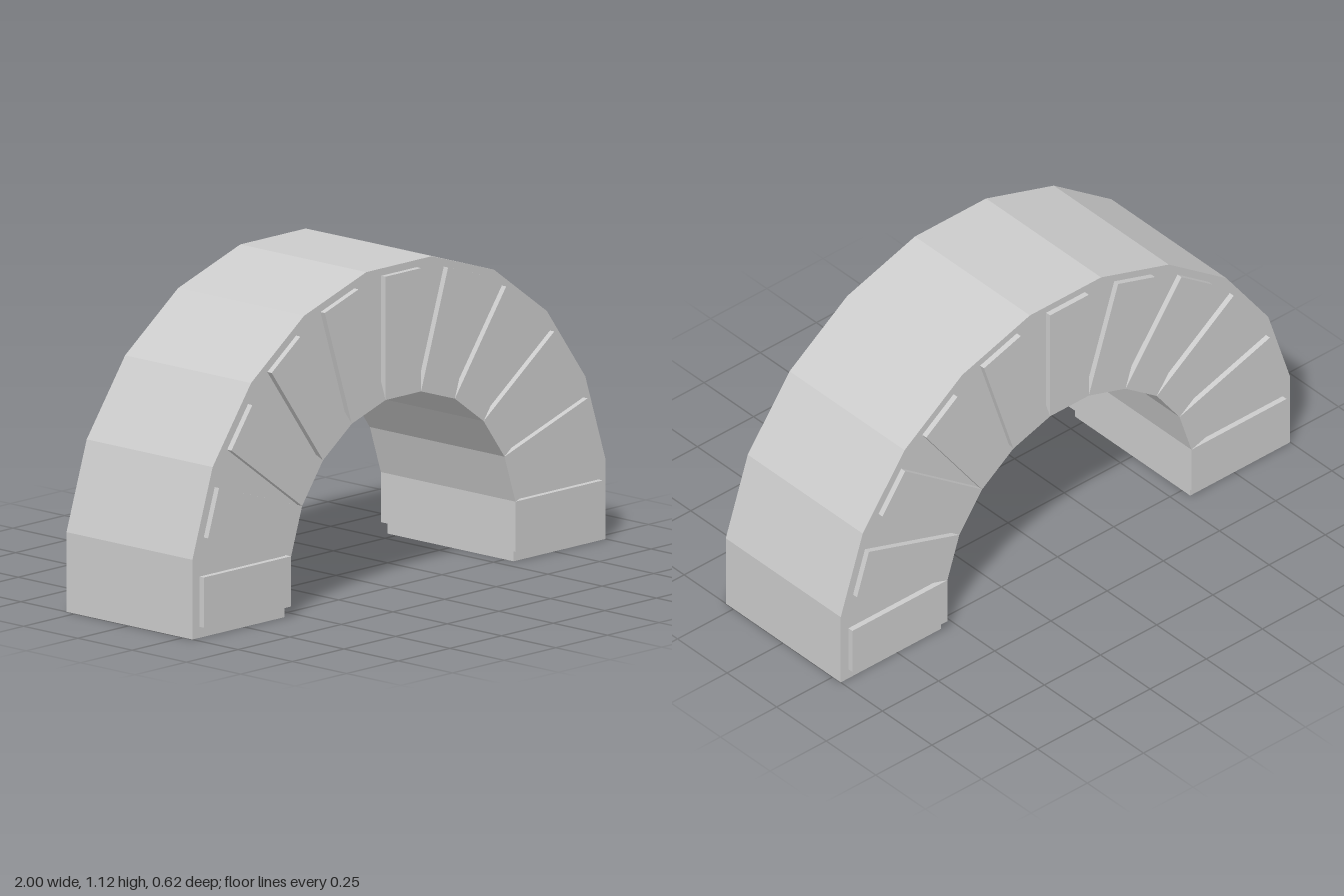
import * as THREE from 'three';

const STEP = Math.PI / 10; // eleven facets over the half circle

// Corners of the faceted half ring, from +x over the top to -x
function ringCorners(apothem, centreY) {
  const r = apothem / Math.cos(STEP / 2);
  const points = [];
  for (let i = 0; i < 10; i++) {
    const a = STEP * (i + 0.5);
    points.push(new THREE.Vector2(r * Math.cos(a), centreY + r * Math.sin(a)));
  }
  return points;
}

export function createModel() {
  const model = new THREE.Group();
  model.name = 'arch';
  const material = new THREE.MeshStandardMaterial({ color: 0xcccccc, flatShading: true });

  // Main faceted arch with short straight feet
  const outerR = 1, innerR = 0.555, centreY = 0.115, depth = 0.58;
  const outline = new THREE.Shape([
    new THREE.Vector2(outerR, 0),
    ...ringCorners(outerR, centreY),
    new THREE.Vector2(-outerR, 0),
    new THREE.Vector2(-innerR, 0),
    ...ringCorners(innerR, centreY).reverse(),
    new THREE.Vector2(innerR, 0),
  ]);
  const archGeometry = new THREE.ExtrudeGeometry(outline, { depth, bevelEnabled: false });
  archGeometry.translate(0, 0, -depth / 2);
  const archBody = new THREE.Mesh(archGeometry, material);
  archBody.name = 'archBody';
  model.add(archBody);

  // Radial stones running through the arch, proud of its faces and underside
  const stones = new THREE.Group();
  stones.name = 'archStones';
  stones.position.y = 0.124;
  const near = 0.543, far = 0.966;
  const stoneGeometry = new THREE.BoxGeometry(far - near, 2 * near * Math.tan(STEP / 2), 0.62);
  stoneGeometry.translate((near + far) / 2, 0, 0);
  for (let i = 0; i <= 10; i++) {
    const stone = new THREE.Mesh(stoneGeometry, material);
    stone.name = `stone${i + 1}`;
    stone.rotation.z = i * STEP;
    stones.add(stone);
  }
  model.add(stones);

  return model;
}
